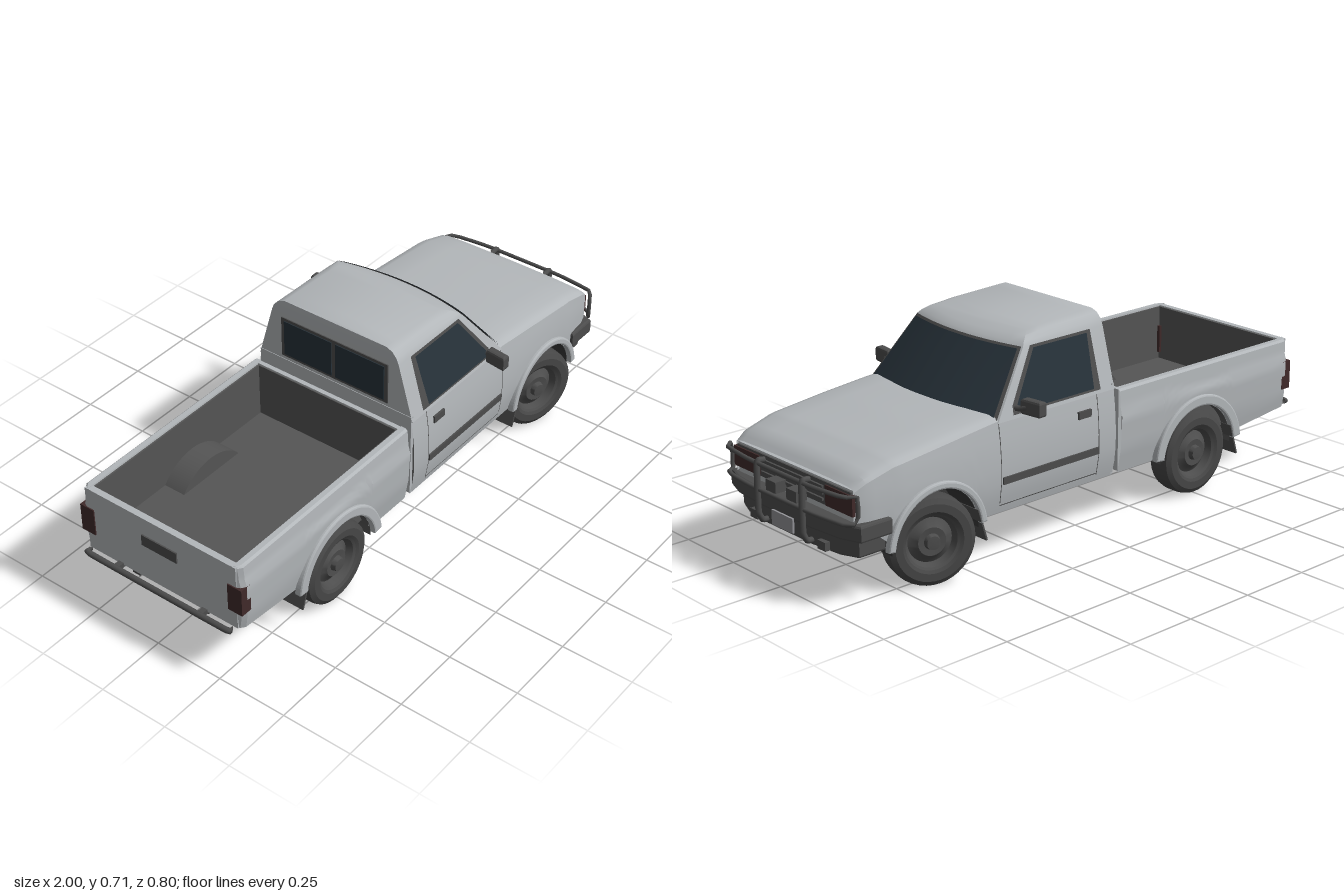
import * as THREE from 'three';
import { toCreasedNormals } from 'three/addons/utils/BufferGeometryUtils.js';

const mat = (name, color) => {
  const m = new THREE.MeshStandardMaterial({ color, side: THREE.DoubleSide });
  m.name = name;
  return m;
};

// piecewise linear lookup in [[x, value], ...]
const look = (table, x) => {
  if (x <= table[0][0]) return table[0][1];
  for (let i = 1; i < table.length; i++) {
    const [a, va] = table[i - 1], [b, vb] = table[i];
    if (x <= b) return va + (vb - va) * (x - a) / (b - a);
  }
  return table[table.length - 1][1];
};

// surface through rows of [x, y, z] points
function skin(rows, crease = 0.5) {
  const n = rows[0].length, index = [];
  for (let i = 0; i < rows.length - 1; i++)
    for (let j = 0; j < n - 1; j++) {
      const a = i * n + j, b = a + 1, d = a + n, c = d + 1;
      index.push(a, b, c, a, c, d);
    }
  const g = new THREE.BufferGeometry();
  g.setAttribute('position', new THREE.Float32BufferAttribute(rows.flat(2), 3));
  g.setIndex(index);
  return toCreasedNormals(g, crease);
}

const box = (x0, x1, y0, y1, z0, z1) =>
  new THREE.BoxGeometry(x1 - x0, y1 - y0, z1 - z0).translate((x0 + x1) / 2, (y0 + y1) / 2, (z0 + z1) / 2);

const tube = (pts, r, closed = false) => new THREE.TubeGeometry(
  new THREE.CatmullRomCurve3(pts.map(p => new THREE.Vector3(...p)), closed, 'catmullrom', 0.2), 48, r, 8, closed);

const shapeOf = pts => new THREE.Shape(pts.map(p => new THREE.Vector2(...p)));

// plan outline [x, z] raised from y0 to y1
const slab = (pts, y0, y1) => new THREE.ExtrudeGeometry(shapeOf(pts),
  { depth: y1 - y0 - 0.016, bevelThickness: 0.008, bevelSize: 0.008, bevelSegments: 2 })
  .rotateX(Math.PI / 2).translate(0, y1 - 0.008, 0);

const FRONT = 0.645, REAR = -0.5, HUB = 0.145, ARCH = 0.17;
const archXs = cx => Array.from({ length: 17 }, (_, i) => cx - ARCH * Math.cos(Math.PI * i / 16));
const archY = (x, cx) => HUB + Math.sqrt(Math.max(0, ARCH * ARCH - (x - cx) ** 2));

// cab plan: half width and windscreen position by height
const cabW = y => look([[0.46, 0.312], [0.66, 0.255]], y);
const screenX = (y, u) => look([[0.46, 0.445], [0.66, 0.27]], y) - look([[0.46, 0.055], [0.66, 0.035]], y) * u * u;

export function createModel() {
  const paint = mat('silver paint', 0xb3b7ba), trim = mat('dark trim', 0x4d4d4d),
    under = mat('underbody black', 0x383838), glass = mat('tinted glass', 0x27323a),
    lamp = mat('dark red lamp', 0x402a2a), plate = mat('pale plate', 0x929296),
    rubber = mat('tyre rubber', 0x474747), liner = mat('bed liner', 0x555555);
  const model = new THREE.Group();
  const add = (name, g, m, parent = model) => {
    const mesh = new THREE.Mesh(g, m);
    mesh.name = name;
    parent.add(mesh);
    return mesh;
  };
  // same part on both sides; made for +z
  const pair = (name, g, m) => [1, -1].forEach(s => { add(name, g, m).scale.z = s; });

  // lower cab, wings and bonnet as one loft along x
  const sideZ = y => look([[0.16, 0.305], [0.24, 0.322], [0.34, 0.322], [0.4, 0.317], [0.47, 0.307]], y);
  const edgeY = x => look([[-0.11, 0.47], [0.4, 0.465], [0.8, 0.423], [0.9, 0.395], [0.935, 0.375]], x);
  const midY = x => look([[-0.11, 0.47], [0.42, 0.487], [0.6, 0.472], [0.8, 0.446], [0.9, 0.418], [0.935, 0.388]], x);
  const nose = x => look([[0.78, 1], [0.9, 0.965], [0.935, 0.93]], x);
  const bodyXs = [-0.11, 0, 0.1, 0.2, 0.3, 0.4, 0.44, ...archXs(FRONT), 0.84, 0.87, 0.9, 0.92, 0.935];
  add('cabAndBonnet', skin(bodyXs.map(x => {
    const low = Math.abs(x - FRONT) < ARCH ? archY(x, FRONT) : look([[0.47, 0.165], [0.81, 0.18], [0.935, 0.28]], x);
    const e = edgeY(x), d = midY(x) - e, k = nose(x), half = [];
    for (let i = 0; i <= 6; i++) {
      const y = low + (e - low) * i / 6;
      half.push([x, y, sideZ(y) * k]);
    }
    [[0.96, 0.45], [0.88, 0.75], [0.6, 0.93]].forEach(([w, h]) => half.push([x, e + d * h, sideZ(e) * k * w]));
    return [...half.map(([a, b, c]) => [a, b, -c]), [x, e + d, 0], ...half.reverse()];
  })), paint);
  add('cabRearWall', box(-0.112, -0.1, 0.17, 0.48, -0.308, 0.308), paint);
  add('nosePanel', box(0.87, 0.934, 0.262, 0.378, -0.288, 0.288), paint);

  // greenhouse and roof: stacked rings, roof falling towards the front
  const ring = (y, w, back, front, bow, rise) => {
    const pts = [[back, -1], [back, 0], [back, 1]], corner = front - bow;
    for (let i = 1; i < 6; i++) pts.push([back + (corner - back) * i / 6, 1]);
    for (let i = 0; i <= 10; i++) { const u = 1 - i / 5; pts.push([front - bow * u * u, u]); }
    for (let i = 5; i >= 0; i--) pts.push([back + (corner - back) * i / 6, -1]);
    return pts.map(([x, u]) => [x, y + rise * look([[-0.1, 1], [0.1, 0.83], [0.2, 0.65], [0.27, 0.4]], x), u * w]);
  };
  const rings = [0.46, 0.56, 0.66].map(y => ring(y, cabW(y), -0.11, screenX(y, 0), screenX(y, 0) - screenX(y, 1), 0));
  [[0.008, 0.02, 0.035], [0.026, 0.04, 0.035], [0.05, 0.049, 0.03], [0.255, 0.053, 0]].forEach(([inset, h, bow]) =>
    rings.push(ring(0.66, 0.255 - inset, -0.11 + inset * 0.05, 0.27 - Math.min(inset, 0.06) * 1.3, bow, h)));
  add('cabRoof', skin(rings), paint);

  // windscreen, side and rear windows
  const screen = (y0, y1, reach, off) => skin([0, 0.25, 0.5, 0.75, 1].map(t => {
    const y = y0 + (y1 - y0) * t;
    return Array.from({ length: 13 }, (_, i) => {
      const u = reach * (1 - i / 6);
      return [screenX(y, u) + off, y + off * 0.5, u * cabW(y)];
    });
  }));
  add('windscreenSeal', screen(0.465, 0.66, 0.985, 0.003), trim);
  add('windscreen', screen(0.472, 0.653, 0.95, 0.006), glass);
  const sidePlate = (pts, off) => {
    const g = new THREE.ShapeGeometry(shapeOf(pts)), p = g.attributes.position;
    for (let i = 0; i < p.count; i++) p.setZ(i, cabW(p.getY(i)) + off);
    g.computeVertexNormals();
    return g;
  };
  pair('sideWindowFrame', sidePlate([[-0.05, 0.472], [0.325, 0.472], [0.322, 0.5], [0.208, 0.661], [-0.05, 0.661]], 0.002), trim);
  pair('sideWindow', sidePlate([[-0.02, 0.48], [0.305, 0.48], [0.305, 0.5], [0.198, 0.653], [-0.032, 0.653]], 0.005), glass);
  add('rearWindowSeal', box(-0.114, -0.109, 0.495, 0.645, -0.215, 0.215), trim);
  [-1, 1].forEach(s => add('rearWindow', box(-0.117, -0.112, 0.505, 0.635, s * 0.105 - 0.097, s * 0.105 + 0.097), glass));

  // door details
  const seam = (x0, x1, y0, y1) => skin([x0, x1].map(x =>
    [0, 0.25, 0.5, 0.75, 1].map(t => { const y = y0 + (y1 - y0) * t; return [x, y, sideZ(y) + 0.0015]; })));
  pair('doorRearSeam', seam(-0.034, -0.031, 0.185, 0.47), trim);
  pair('doorFrontSeam', seam(0.385, 0.388, 0.2, 0.465), trim);
  pair('doorSillSeam', seam(-0.033, 0.387, 0.19, 0.193), trim);
  pair('sideMoulding', box(-0.03, 0.38, 0.262, 0.285, 0.318, 0.328), trim);
  pair('doorHandle', box(0.0, 0.055, 0.395, 0.42, 0.31, 0.322), trim);
  pair('mirrorArm', tube([[0.31, 0.49, 0.295], [0.305, 0.492, 0.32], [0.298, 0.5, 0.345]], 0.01), trim);
  pair('mirror', slab([[0.285, 0.332], [0.3, 0.332], [0.292, 0.391], [0.277, 0.391]], 0.475, 0.527), trim);

  // cargo bed: outer sides with wheel arches, ends, dark inside
  const bedZ = y => look([[0.16, 0.305], [0.25, 0.32], [0.37, 0.325], [0.385, 0.317], [0.45, 0.312]], y);
  const bedXs = [-0.962, -0.955, -0.94, -0.88, -0.76, ...archXs(REAR), -0.25, -0.136];
  pair('bedSide', skin(bedXs.map(x => {
    const low = Math.abs(x - REAR) < ARCH ? archY(x, REAR) : look([[-0.96, 0.21], [-0.67, 0.175], [-0.33, 0.165]], x);
    const tuck = look([[-0.962, 0.024], [-0.955, 0.01], [-0.94, 0]], x);
    const col = Array.from({ length: 11 }, (_, i) => {
      const y = low + (0.445 - low) * i / 10;
      return [x, y, bedZ(y) - tuck];
    });
    return [...col, [x, 0.452, 0.305 - tuck], [x, 0.452, 0.287], [x, 0.438, 0.285]].reverse();
  })), paint);
  add('tailgate', box(-0.962, -0.94, 0.21, 0.45, -0.3, 0.3), paint);
  add('bedFrontWall', box(-0.152, -0.136, 0.17, 0.45, -0.306, 0.306), paint);
  add('bedFloor', box(-0.942, -0.15, 0.235, 0.25, -0.286, 0.286), liner);
  pair('bedInnerWall', box(-0.942, -0.15, 0.2, 0.446, 0.28, 0.286), liner);
  [-0.939, -0.157].forEach(x => add('bedEndLiner', box(x, x + 0.004, 0.25, 0.446, -0.283, 0.283), liner));
  add('tailgateHandle', box(-0.967, -0.96, 0.345, 0.385, -0.07, 0.07), trim);
  pair('tailLamp', box(-0.966, -0.925, 0.275, 0.375, 0.268, 0.323), lamp);

  // arch flares, wheel housings and mud flaps
  [FRONT, REAR].forEach(cx => {
    const rear = cx === REAR, flare = new THREE.Shape();
    flare.absarc(0, 0, rear ? 0.207 : 0.194, 0.1, Math.PI - 0.1, false);
    flare.absarc(0, 0, ARCH, Math.PI - 0.1, 0.1, true);
    pair('archFlare', new THREE.ExtrudeGeometry(flare, { depth: 0.016, bevelThickness: 0.006, bevelSize: 0.006, bevelOffset: -0.006, bevelSegments: 2, curveSegments: 24 })
      .translate(cx, HUB, 0.313), paint);
    pair('wheelHousing', new THREE.CylinderGeometry(ARCH, ARCH, 0.115, 24, 1, true, Math.PI / 2, Math.PI)
      .rotateX(Math.PI / 2).translate(cx, HUB, 0.2575), rear ? liner : under);
    pair('wheelHousingWall', new THREE.CircleGeometry(ARCH, 24, 0, Math.PI).translate(cx, HUB, 0.2), rear ? liner : under);
    pair('mudFlap', new THREE.BoxGeometry(0.006, 0.115, 0.09).rotateZ(-0.3).translate(cx - 0.175, 0.155, 0.285), trim);
  });

  // wheels; the front pair is steered
  const lathe = pts => toCreasedNormals(new THREE.LatheGeometry(pts.map(p => new THREE.Vector2(...p)), 40).rotateX(Math.PI / 2), 0.5);
  const tyre = lathe([[0.09, -0.042], [0.125, -0.046], [0.141, -0.036], [0.145, -0.02], [0.145, 0.02], [0.141, 0.036], [0.125, 0.046], [0.1, 0.046], [0.09, 0.04]]);
  const rim = lathe([[0, -0.01], [0.075, -0.01], [0.09, -0.042], [0.092, 0.04], [0.083, 0.034], [0.073, 0.012], [0.055, 0.022], [0.046, 0.032], [0.026, 0.03], [0.022, 0.046], [0, 0.048]]);
  [[FRONT, 1], [FRONT, -1], [REAR, 1], [REAR, -1]].forEach(([x, s]) => {
    const wheel = new THREE.Group();
    wheel.name = x === FRONT ? 'frontWheel' : 'rearWheel';
    add('tyre', tyre, rubber, wheel).scale.z = s;
    add('rim', rim, trim, wheel).scale.z = s;
    wheel.position.set(x, HUB, s * 0.277);
    if (x === FRONT) wheel.rotation.y = -0.3;
    model.add(wheel);
  });

  // grille and headlamps
  add('grille', box(0.9, 0.94, 0.298, 0.372, -0.285, 0.285), trim);
  [0.315, 0.335, 0.355].forEach(y => add('grilleSlat', box(0.938, 0.947, y - 0.004, y + 0.004, -0.155, 0.155), trim));
  pair('headlamp', box(0.885, 0.945, 0.3, 0.365, 0.167, 0.297), lamp);

  // front bumper, number plate and lights
  const curve = (w, x) => [[0.83, -w], [x - 0.035, -w], [x - 0.012, -w * 0.8], [x, -w * 0.4], [x, w * 0.4], [x - 0.012, w * 0.8], [x - 0.035, w], [0.83, w]];
  add('bumperUpper', slab(curve(0.32, 0.968), 0.222, 0.278), trim);
  add('bumperLower', slab(curve(0.285, 0.95), 0.16, 0.23), trim);
  add('numberPlate', box(0.978, 0.985, 0.185, 0.233, -0.053, 0.053), plate);
  pair('fogLamp', box(0.945, 0.968, 0.165, 0.193, 0.152, 0.19), trim);
  pair('spotLamp', box(0.945, 0.985, 0.29, 0.326, 0.027, 0.077), trim);

  // bull bar
  const loop = [[0.94, 0.285, 0.315], [0.972, 0.283, 0.29], [0.988, 0.283, 0.15], [0.988, 0.283, -0.15], [0.972, 0.283, -0.29], [0.94, 0.285, -0.315]];
  add('bullBarLoop', tube([...loop, ...loop.map(([x, , z]) => [x, 0.368, z]).reverse()], 0.007, true), trim);
  pair('bullBarUpright', tube([[0.95, 0.178, 0.113], [0.975, 0.18, 0.113], [0.99, 0.21, 0.113], [0.99, 0.35, 0.113], [0.985, 0.375, 0.113], [0.962, 0.372, 0.113]], 0.01), trim);

  // rear tube bumper
  add('rearBar', tube([[-0.975, 0.213, -0.29], [-0.99, 0.213, -0.27], [-0.99, 0.213, 0.27], [-0.975, 0.213, 0.29]], 0.01), trim);
  pair('rearBarBracket', box(-0.985, -0.88, 0.2, 0.218, 0.16, 0.18), trim);

  // floor, frame and running gear
  add('cabFloor', box(-0.1, 0.475, 0.175, 0.19, -0.302, 0.302), under);
  add('engineBay', box(0.47, 0.87, 0.195, 0.36, -0.2, 0.2), under);
  add('noseFloor', box(0.815, 0.9, 0.2, 0.22, -0.29, 0.29), under);
  add('bedUnderside', box(-0.94, -0.15, 0.215, 0.236, -0.2, 0.2), under);
  pair('bedUndersideFront', box(-0.33, -0.15, 0.19, 0.236, 0.2, 0.3), under);
  pair('bedUndersideRear', box(-0.94, -0.67, 0.215, 0.236, 0.2, 0.3), under);
  pair('frameRail', box(-0.93, 0.86, 0.16, 0.2, 0.125, 0.155), trim);
  [-0.85, -0.62, -0.3, -0.12, 0.1, 0.36, 0.82].forEach(x => add('crossMember', box(x - 0.015, x + 0.015, 0.165, 0.19, -0.14, 0.14), trim));
  [FRONT, REAR].forEach(x => {
    add('axle', new THREE.CylinderGeometry(0.018, 0.018, 0.5, 12).rotateX(Math.PI / 2).translate(x, HUB, 0), trim);
    add('differential', new THREE.SphereGeometry(0.045, 16, 10).translate(x, HUB, x === REAR ? 0 : 0.05), trim);
  });
  pair('leafSpring', tube([[-0.8, 0.185, 0.18], [-0.5, 0.125, 0.18], [-0.24, 0.18, 0.18]], 0.01), trim);
  add('propShaft', tube([[-0.48, 0.15, 0], [-0.1, 0.16, 0], [0.2, 0.165, 0]], 0.013), trim);
  add('gearbox', new THREE.CylinderGeometry(0.075, 0.035, 0.06, 10).scale(1.1, 1, 0.9).translate(0.24, 0.148, 0), trim);
  add('fuelTank', box(-0.2, 0.02, 0.15, 0.19, 0.17, 0.28), under);
  add('exhaust', tube([[0.4, 0.17, -0.09], [0.0, 0.165, -0.09], [-0.35, 0.17, -0.1], [-0.9, 0.19, -0.17]], 0.011), trim);
  return model;
}
